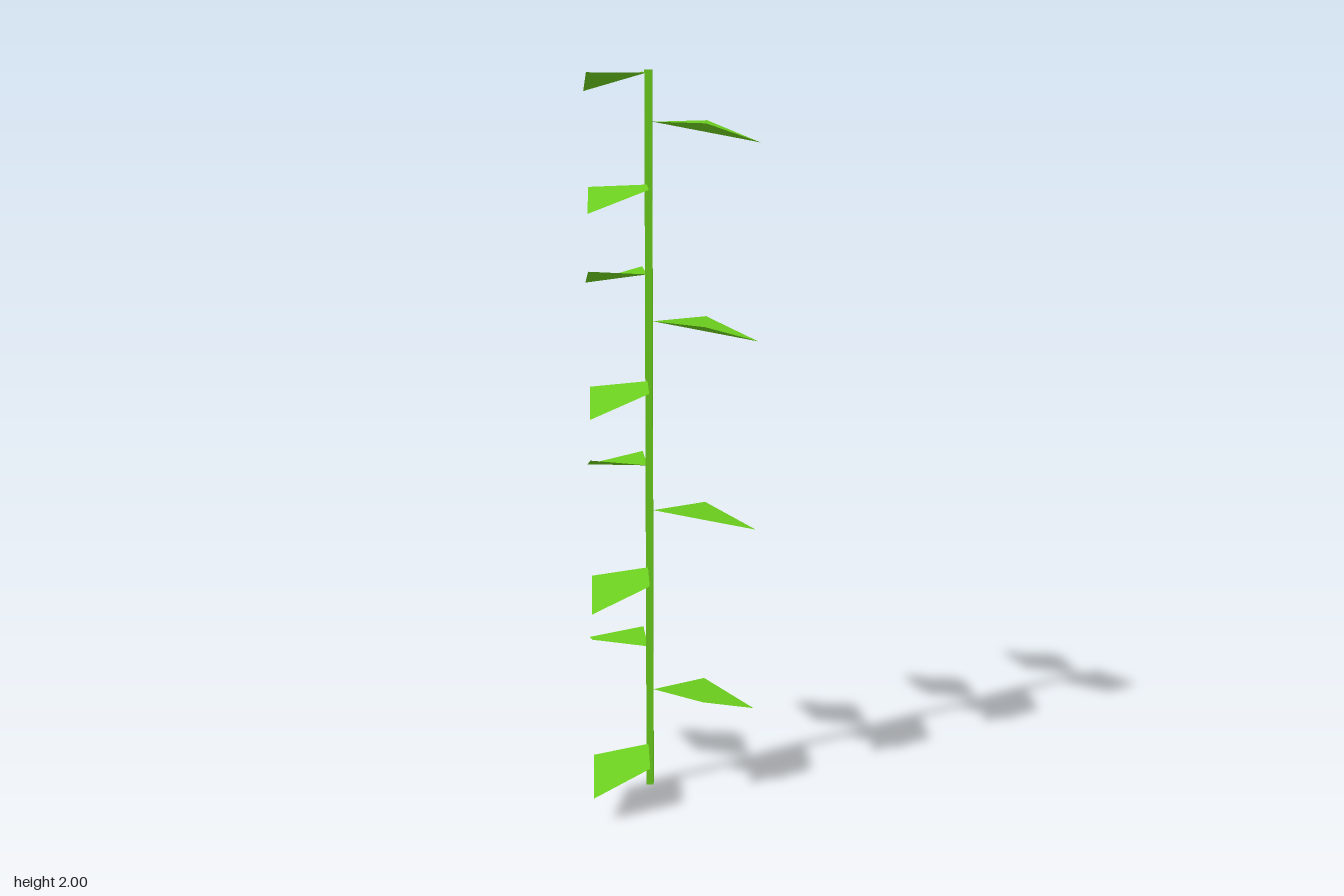
import * as THREE from 'three';

const green = new THREE.MeshStandardMaterial({ color: 0x6cd01e });
const leafGreen = new THREE.MeshStandardMaterial({ color: 0x6cd01e, side: THREE.DoubleSide });

// Diamond leaf pointing along +x, creased down the middle, with a drooping tip
function leafGeometry(length, halfWidth, droop) {
  const geo = new THREE.BufferGeometry();
  const points = [
    0, 0, 0,
    length / 2, 0, halfWidth,
    length, -droop, 0,
    length / 2, 0, -halfWidth,
  ];
  geo.setAttribute('position', new THREE.Float32BufferAttribute(points, 3));
  // One shared normal keeps the whole blade evenly shaded
  const n = new THREE.Vector3(droop, length, 0).normalize();
  const normals = [0, 1, 2, 3].flatMap(() => n.toArray());
  geo.setAttribute('normal', new THREE.Float32BufferAttribute(normals, 3));
  geo.setIndex([0, 1, 2, 0, 2, 3]);
  return geo;
}

export function createModel() {
  const plant = new THREE.Group();
  plant.name = 'climbingPlant';
  const stemX = -0.053, stemZ = -0.018;

  // Square stem
  const stem = new THREE.Mesh(new THREE.BoxGeometry(0.02, 2, 0.02), green);
  stem.name = 'stem';
  stem.position.set(stemX, 1, stemZ);
  plant.add(stem);

  // Three leaves spiral round the stem in each tier
  const geo = leafGeometry(0.284, 0.092, 0.053);
  const whorl = [
    { name: 'frontLeaf', y: 0.125, angle: -2.069, x: -0.057, z: -0.008 },
    { name: 'leftLeaf', y: 0.287, angle: 0, x: -0.043, z: -0.018 },
    { name: 'backLeaf', y: 0.412, angle: 2.279, x: -0.058, z: -0.027 },
  ];
  for (let tier = 0; tier < 4; tier++) {
    for (const { name, y, angle, x, z } of whorl) {
      const leaf = new THREE.Mesh(geo, leafGreen);
      leaf.name = name + (tier + 1);
      leaf.position.set(x, y + tier * 0.5267, z);
      leaf.rotation.y = angle;
      plant.add(leaf);
    }
  }
  return plant;
}
